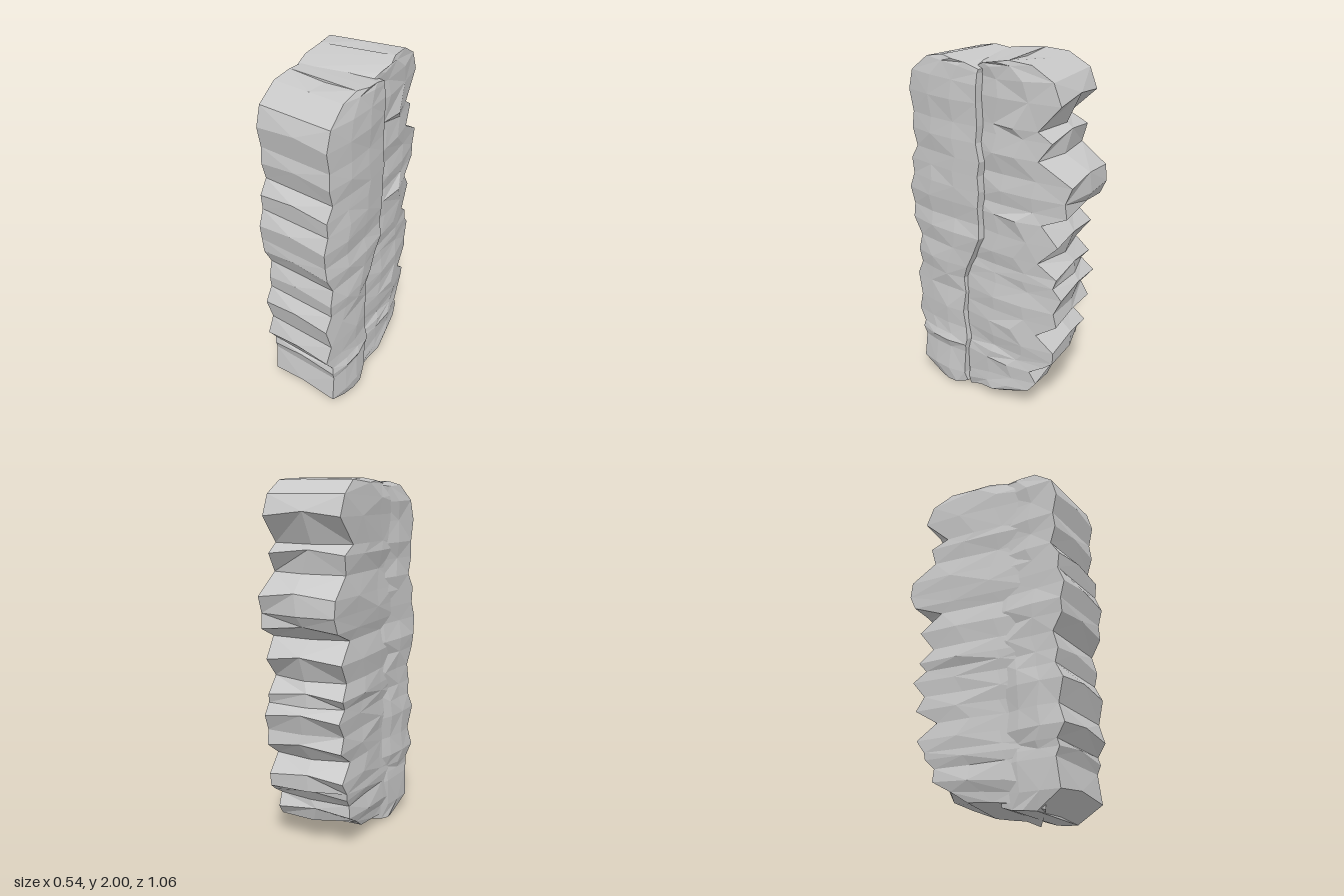
import * as THREE from 'three';

// small repeatable noise in -1..1
const noise = (a, b) => {
  const s = Math.sin(a * 127.1 + b * 311.7) * 43758.5453;
  return (s - Math.floor(s)) * 2 - 1;
};

// Stone slab made of stacked rings. Rows run from top to bottom as
// [height, depth of the rough face, height at the hidden inner end].
// Odd rows are ridges, even rows are valleys.
// swell widens the sides from inner end to rough face, lean shifts the inner
// end sideways, skew turns it, notch cuts into the corners of the valleys.
function slab({ rows, inner, half, angle, cx, cz, swell, lean, skew, notch, seed }) {
  const c = Math.cos(angle), s = Math.sin(angle), last = rows.length - 1;

  const rings = rows.map(([y, depth, innerY = y], i) => {
    const end = i === 0 || i === last;
    const u0 = inner(y);
    const w = half * (end ? 0.94 : i === 1 ? 0.97 : 1);
    const shift = end ? 0 : 0.007 * noise(i, seed);
    const place = (x, u, h) => [cx + x * c - u * s, h, cz + x * s + u * c];
    const side = (sign, f) => {
      const bump = f > 0 && f < 1 ? 0.01 * noise(i + sign * 40, seed + f) : 0;
      const start = u0 - sign * skew;
      const cut = i % 2 === 0 && i > 2 && !end ? notch * (0.5 + 0.5 * noise(i, seed + sign)) : 0;
      return place(sign * (w * swell[Math.round(f * 3)] + bump) + shift + lean * (1 - f) ** 2,
        start + (depth - cut - start) * f, innerY + (y - innerY) * Math.sqrt(f));
    };
    const ridge = i % 2 === 1 && i > 1;
    const rise = ridge ? 0.025 : i === 0 ? -0.012 : i === last ? 0.012 : 0;
    const mid = place(shift - 0.03 * noise(i, seed + 7), depth + (ridge ? 0.005 : 0), y + rise);
    return [0, 1 / 3, 2 / 3, 1].map(f => side(1, f))
      .concat([mid], [1, 2 / 3, 1 / 3, 0].map(f => side(-1, f)), [place(lean, u0, innerY)]);
  });

  const pos = [];
  const tri = (...pts) => pts.forEach(p => pos.push(...p));
  const n = rings[0].length;

  // walls, with alternating diagonals for a faceted look
  for (let i = 0; i < last; i++) {
    for (let j = 0; j < n; j++) {
      const k = (j + 1) % n;
      const a = rings[i][j], d = rings[i][k], b = rings[i + 1][j], e = rings[i + 1][k];
      if ((i + j) % 2) { tri(a, d, e); tri(a, e, b); }
      else { tri(a, d, b); tri(d, e, b); }
    }
  }

  // top and bottom caps
  const cap = (r, up) => {
    const face = (p, q, t) => (up ? tri(p, q, t) : tri(p, t, q));
    for (let j = 0; j < 3; j++) {
      face(r[j], r[8 - j], r[7 - j]);
      face(r[j], r[7 - j], r[j + 1]);
    }
    face(r[3], r[5], r[4]);
    face(r[0], r[9], r[8]);
  };
  cap(rings[0], true);
  cap(rings[last], false);

  const g = new THREE.BufferGeometry();
  g.setAttribute('position', new THREE.Float32BufferAttribute(pos, 3));
  g.computeVertexNormals();
  return g;
}

export function createModel() {
  const group = new THREE.Group();
  group.name = 'rockWall';
  const stone = new THREE.MeshStandardMaterial({ color: 0xc8c8c8, flatShading: true });
  stone.name = 'stone grey';

  const add = (name, options) => {
    const mesh = new THREE.Mesh(slab(options), stone);
    mesh.name = name;
    group.add(mesh);
  };
  const lower = y => THREE.MathUtils.smoothstep(1.1 - y, 0, 0.4);

  // front slab, turned slightly sideways
  add('frontSlab', {
    rows: [
      [1.985, 0.25, 1.94], [1.965, 0.36, 1.92], [1.88, 0.47, 1.86], [1.77, 0.5], [1.65, 0.475],
      [1.56, 0.485], [1.46, 0.455], [1.38, 0.505], [1.29, 0.495], [1.2, 0.53],
      [1.1, 0.51], [1.02, 0.51], [0.92, 0.455], [0.82, 0.48], [0.74, 0.465],
      [0.65, 0.51], [0.52, 0.475], [0.41, 0.51], [0.34, 0.46], [0.3, 0.47],
      [0.25, 0.452], [0.09, 0.47, 0.1], [0, 0.33, 0.04],
    ],
    inner: y => 0.005 + 0.12 * lower(y) + 0.015 * noise(y, 3),
    half: 0.213, angle: 0.23, cx: 0.056, cz: -0.032,
    swell: [0.98, 1.07, 1.07, 1], lean: -0.01, skew: 0, notch: 0, seed: 2,
  });

  // back slab, with the rough face to the rear
  add('backSlab', {
    rows: [
      [2, 0.15, 1.93], [1.99, 0.28, 1.91], [1.92, 0.4, 1.87], [1.81, 0.445], [1.67, 0.37],
      [1.62, 0.4], [1.52, 0.385], [1.41, 0.515], [1.32, 0.527], [1.24, 0.49],
      [1.18, 0.37], [1.07, 0.445], [0.96, 0.4], [0.88, 0.44], [0.83, 0.445],
      [0.77, 0.475], [0.68, 0.445], [0.6, 0.45], [0.52, 0.37], [0.43, 0.435],
      [0.36, 0.435], [0.32, 0.38], [0.27, 0.33], [0.2, 0.335, 0.12],
      [0.14, 0.31, 0.06], [0.08, 0.14, 0.005],
    ],
    inner: y => -0.16 - 0.05 * lower(y),
    half: 0.216, angle: Math.PI - 0.01, cx: 0.027, cz: 0,
    swell: [0.95, 1.02, 1.06, 1], lean: 0.045, skew: 0.075, notch: 0.08, seed: 9,
  });

  return group;
}
